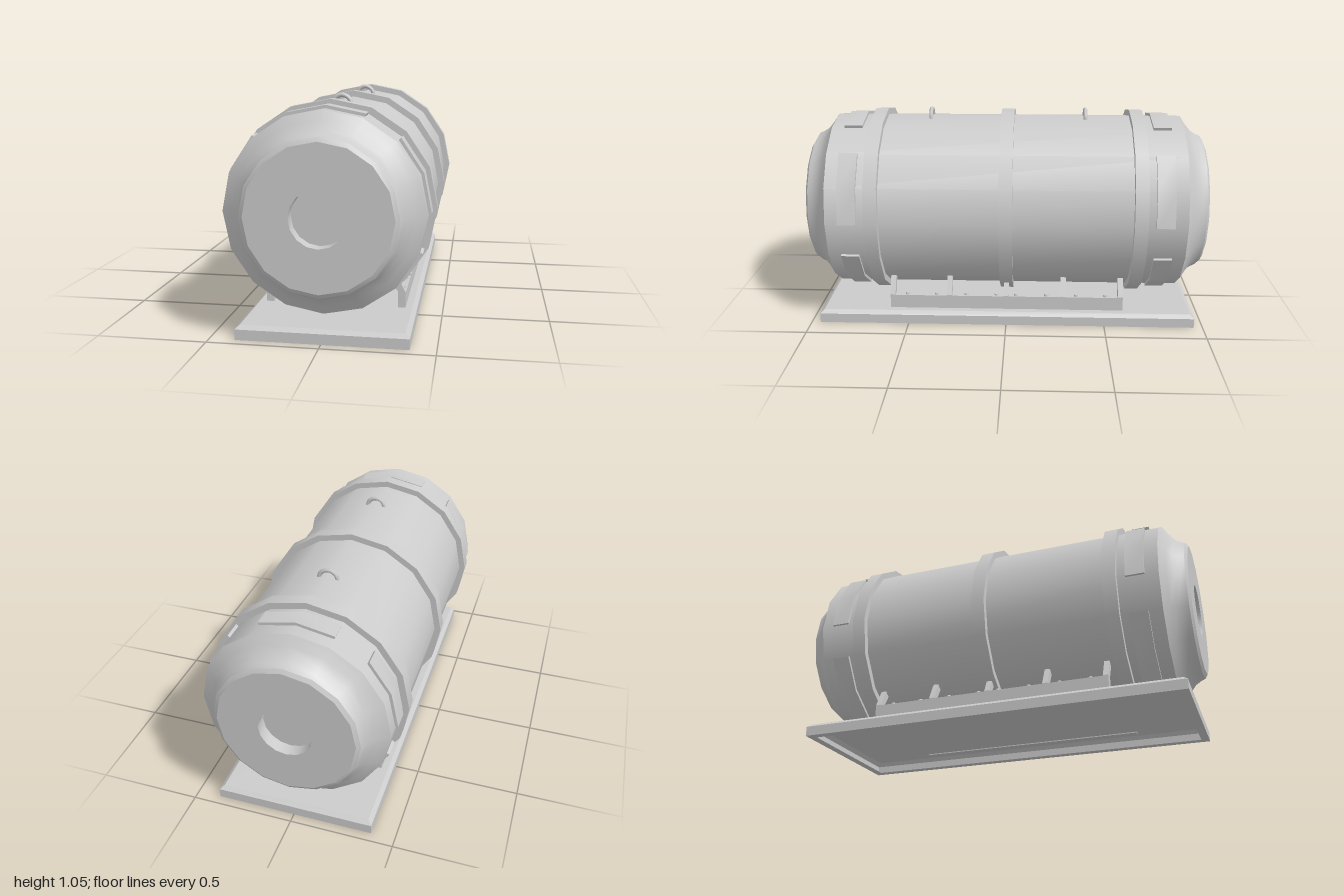
import * as THREE from 'three';
import { toCreasedNormals } from 'three/addons/utils/BufferGeometryUtils.js';

const SIDES = 16;
const STEP = (Math.PI * 2) / SIDES;
const AXIS_Y = 0.562;

export function createModel() {
  const model = new THREE.Group();
  const smooth = new THREE.MeshStandardMaterial({ color: 0xcccccc });
  const flat = new THREE.MeshStandardMaterial({ color: 0xcccccc, flatShading: true });
  const thin = new THREE.MeshStandardMaterial({ color: 0xcccccc, flatShading: true, side: THREE.DoubleSide });

  const add = (name, geometry, material, x = 0, y = 0, z = 0) => {
    const mesh = new THREE.Mesh(geometry, material);
    mesh.name = name;
    mesh.position.set(x, y, z);
    model.add(mesh);
    return mesh;
  };

  // Tank: one lathe with domed ends and a round recess in each end
  const half = [
    [0.447, 0.88], [0.405, 0.908], [0.37, 0.938], [0.354, 0.965], [0.344, 0.988],
    [0.325, 1], [0.127, 1], [0.127, 0.94], [0, 0.94],
  ];
  const profile = [
    ...half.slice().reverse().map(([r, z]) => new THREE.Vector2(r, -z)),
    ...half.map(([r, z]) => new THREE.Vector2(r, z)),
  ];
  const tank = new THREE.LatheGeometry(profile, SIDES).rotateX(Math.PI / 2);
  add('tank', toCreasedNormals(tank, 0.57), smooth, 0, AXIS_Y, 0);

  // Raised hoops round the tank
  for (const z of [-0.652, 0, 0.652]) {
    const hoop = new THREE.CylinderGeometry(0.478, 0.478, 0.066, SIDES).rotateX(Math.PI / 2);
    add('hoop', hoop, smooth, 0, AXIS_Y, z);
  }

  // Raised panels near both ends, each two facets wide
  for (const z of [-0.77, 0.77]) {
    for (const first of [-1, 2, 5, -4, -7]) {
      const arc = (r, i) => new THREE.Vector2(r * Math.sin((first + i) * STEP), r * Math.cos((first + i) * STEP));
      const outline = [0, 1, 2].map(i => arc(0.461, i)).concat([2, 1, 0].map(i => arc(0.43, i)));
      const panel = new THREE.ExtrudeGeometry(new THREE.Shape(outline), { depth: 0.09, bevelEnabled: false });
      add('panel', toCreasedNormals(panel.translate(0, 0, -0.045), 0.5), smooth, 0, AXIS_Y, z);
    }
  }

  // Lifting handles on top
  for (const z of [-0.395, 0.395]) {
    add('handle', new THREE.TorusGeometry(0.045, 0.011, 6, 10, Math.PI), smooth, 0, 0.995, z);
  }

  // Base: hollow tray with a bevelled top edge and an inward rim below
  const rings = [[0.345, 0.915, 0], [0.385, 0.955, 0], [0.385, 0.955, 0.048], [0.365, 0.935, 0.065]];
  const positions = [];
  const index = [];
  for (const [x, z, y] of rings) positions.push(-x, y, z, x, y, z, x, y, -z, -x, y, -z);
  for (let r = 0; r < rings.length - 1; r++) {
    for (let i = 0; i < 4; i++) {
      const a = r * 4 + i;
      const b = r * 4 + ((i + 1) % 4);
      index.push(a, b, b + 4, a, b + 4, a + 4);
    }
  }
  const top = (rings.length - 1) * 4;
  index.push(top, top + 1, top + 2, top, top + 2, top + 3);
  const base = new THREE.BufferGeometry();
  base.setAttribute('position', new THREE.Float32BufferAttribute(positions, 3));
  base.setIndex(index);
  const baseGeometry = base.toNonIndexed();
  baseGeometry.computeVertexNormals();
  add('base', baseGeometry, thin);

  // Cradle: a rail on each side with slanted arms and bolts
  const armOutline = [[0.298, 0.06], [0.333, 0.06], [0.333, 0.138], [0.285, 0.23], [0.25, 0.22], [0.298, 0.138]];
  for (const side of [-1, 1]) {
    add('cradleRail', new THREE.BoxGeometry(0.035, 0.075, 1.19), flat, side * 0.3155, 0.0975, 0);

    for (let i = -2; i <= 2; i++) {
      const points = armOutline.map(([x, y]) => new THREE.Vector2(side * x, y));
      const arm = new THREE.ExtrudeGeometry(new THREE.Shape(points), { depth: 0.026, bevelEnabled: false });
      add('cradleArm', arm, flat, 0, 0, i * 0.2915 - 0.013);
    }

    for (const z of [0.05, 0.205, 0.358, 0.508]) {
      for (const end of [-1, 1]) {
        add('bolt', new THREE.CylinderGeometry(0.01, 0.012, 0.012, 8), smooth, side * 0.3155, 0.138, end * z);
      }
    }
  }

  return model;
}
